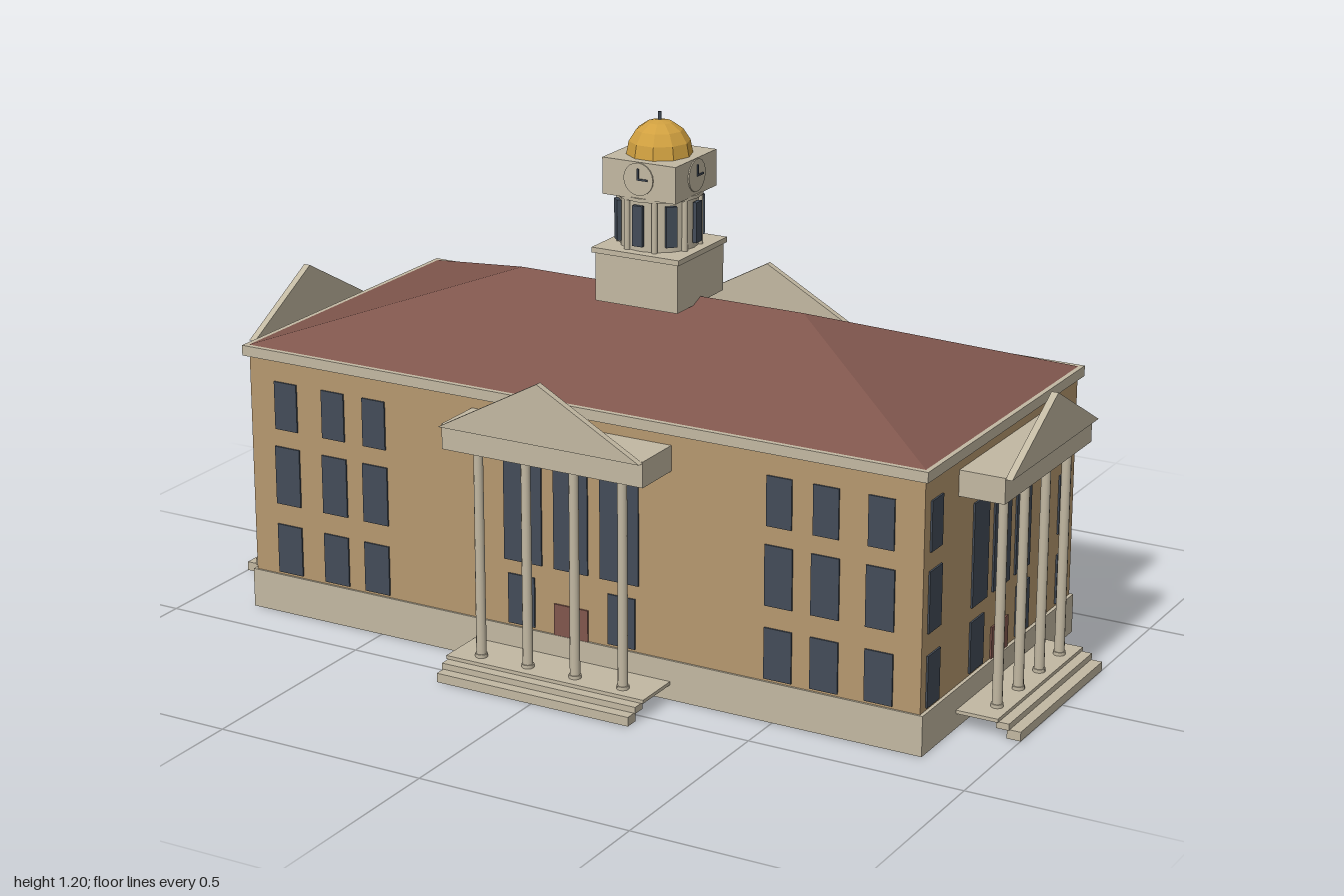
import * as THREE from 'three';

const mat = (name, color) => Object.assign(new THREE.MeshStandardMaterial({ color }), { name });
const flat = (geo) => { const g = geo.toNonIndexed(); g.computeVertexNormals(); return g; };

export function createModel() {
  const wall = mat('tan brick', 0xb6986f);
  const stone = mat('pale stone', 0xc2b8a2);
  const roofRed = mat('roof red', 0x80564d);
  const glass = mat('dark glass', 0x434c58);
  const gold = mat('gold', 0xd0a040);

  const add = (parent, name, geo, material, x = 0, y = 0, z = 0) => {
    const m = new THREE.Mesh(geo, material);
    m.name = name;
    m.position.set(x, y, z);
    parent.add(m);
    return m;
  };
  // Box given by its lower and upper bounds
  const block = (parent, name, material, x0, x1, y0, y1, z0, z1) =>
    add(parent, name, new THREE.BoxGeometry(x1 - x0, y1 - y0, z1 - z0), material,
      (x0 + x1) / 2, (y0 + y1) / 2, (z0 + z1) / 2);

  const model = new THREE.Group();
  model.name = 'domedHall';

  // Main body
  block(model, 'plinth', stone, -0.853, 0.853, 0, 0.092, -0.394, 0.394);
  block(model, 'walls', wall, -0.845, 0.845, 0.092, 0.61, -0.389, 0.389);
  block(model, 'cornice', stone, -0.856, 0.856, 0.61, 0.634, -0.402, 0.402);

  // Hipped roof: a box whose top edge is pinched into a ridge
  const roofGeo = new THREE.BoxGeometry(1.69, 0.154, 0.78);
  const p = roofGeo.attributes.position;
  for (let i = 0; i < p.count; i++) {
    if (p.getY(i) > 0) p.setXYZ(i, Math.sign(p.getX(i)) * 0.36, p.getY(i), 0);
  }
  add(model, 'hippedRoof', flat(roofGeo), roofRed, 0, 0.711, 0);

  // One facade with its windows and portico, facing local +z
  const rows = [[0.098, 0.215], [0.265, 0.403], [0.445, 0.558]];
  const makeFacade = (name, f) => {
    const g = new THREE.Group();
    g.name = name;
    const w = f.wall;
    const pane = (label, m, x, width, y0, y1) =>
      block(g, label, m, x - width / 2, x + width / 2, y0, y1, w - 0.004, w + 0.004);

    for (const s of [-1, 1]) {
      for (const x of f.windows) {
        rows.forEach(([y0, y1], r) => pane('window', glass, s * x, r === 2 ? f.width - 0.006 : f.width, y0, y1));
      }
      pane('tallWindow', glass, s * f.tall, f.tallWidth, 0.247, 0.484);
      pane('porchWindow', glass, s * f.low, 0.068, 0.098, 0.215);
    }
    pane('middleWindow', glass, 0, 0.086, 0.247, 0.484);
    pane('door', roofRed, 0, 0.086, 0.092, 0.165);

    // Porch floor and steps
    const h = f.half;
    block(g, 'porchFloor', stone, -h, h, 0.035, 0.043, w, f.front);
    block(g, 'upperStep', stone, -h + 0.005, h - 0.005, 0.02, 0.035, f.front - 0.006, f.steps[0]);
    block(g, 'lowerStep', stone, -h + 0.008, h - 0.008, 0, 0.021, f.steps[0] - 0.006, f.steps[1]);

    // Columns
    for (const k of [-1.5, -0.5, 0.5, 1.5]) {
      const x = k * f.spacing;
      add(g, 'column', new THREE.CylinderGeometry(0.0105, 0.0115, 0.484, 12), stone, x, 0.284, f.column);
      for (const y of [0.047, 0.521]) {
        add(g, 'columnCollar', new THREE.CylinderGeometry(0.014, 0.014, 0.008, 12), stone, x, y, f.column);
      }
    }

    // Entablature and upright gable plate
    block(g, 'entablature', stone, -h, h, 0.525, 0.583, w, f.front);
    const tri = new THREE.Shape([[-h, 0.58], [h, 0.58], [0, f.apex]].map(([x, y]) => new THREE.Vector2(x, y)));
    add(g, 'pediment', new THREE.ExtrudeGeometry(tri, { depth: 0.016, bevelEnabled: false }), stone, 0, 0, f.front - 0.001);
    return g;
  };

  const longSide = {
    wall: 0.389, front: 0.511, steps: [0.536, 0.562], column: 0.476, half: 0.25, spacing: 0.12, apex: 0.717,
    windows: [0.51, 0.62, 0.748], width: 0.066, tall: 0.122, tallWidth: 0.096, low: 0.127,
  };
  const shortSide = {
    wall: 0.845, front: 0.95, steps: [0.974, 1.0], column: 0.92, half: 0.227, spacing: 0.11, apex: 0.706,
    windows: [0.334], width: 0.06, tall: 0.111, tallWidth: 0.077, low: 0.119,
  };
  ['frontFacade', 'leftFacade', 'backFacade', 'rightFacade'].forEach((name, i) => {
    const f = makeFacade(name, i % 2 ? shortSide : longSide);
    f.rotation.y = i * Math.PI / 2;
    model.add(f);
  });

  // Tower
  const tower = new THREE.Group();
  tower.name = 'tower';
  model.add(tower);
  block(tower, 'towerBase', stone, -0.104, 0.104, 0.775, 0.886, -0.104, 0.104);
  block(tower, 'towerLedge', stone, -0.11, 0.11, 0.886, 0.898, -0.11, 0.11);
  add(tower, 'drum', new THREE.CylinderGeometry(0.088, 0.088, 0.12, 16), stone, 0, 0.958, 0);
  add(tower, 'drumRing', new THREE.CylinderGeometry(0.097, 0.097, 0.008, 16), stone, 0, 1.016, 0);
  block(tower, 'clockStage', stone, -0.092, 0.092, 1.018, 1.101, -0.092, 0.092);

  // Eight drum windows with small columns between them
  for (let i = 0; i < 8; i++) {
    const a = i * Math.PI / 4, b = a + Math.PI / 8;
    const win = add(tower, 'drumWindow', new THREE.BoxGeometry(0.025, 0.092, 0.0095), glass,
      Math.sin(a) * 0.0955, 0.958, Math.cos(a) * 0.0955);
    win.rotation.y = a;
    add(tower, 'drumColumn', new THREE.CylinderGeometry(0.007, 0.007, 0.114, 8), stone,
      Math.sin(b) * 0.09, 0.955, Math.cos(b) * 0.09);
  }

  // Clock on each side
  for (let i = 0; i < 4; i++) {
    const clock = new THREE.Group();
    clock.name = 'clock';
    clock.rotation.y = i * Math.PI / 2;
    tower.add(clock);
    add(clock, 'clockFace', new THREE.CylinderGeometry(0.037, 0.037, 0.004, 20), stone, 0, 1.063, 0.093)
      .rotation.x = Math.PI / 2;
    block(clock, 'minuteHand', glass, -0.002, 0.002, 1.061, 1.087, 0.094, 0.098);
    block(clock, 'hourHand', glass, -0.002, 0.024, 1.061, 1.065, 0.094, 0.098);
  }

  // Faceted dome and finial
  const domeGeo = flat(new THREE.SphereGeometry(0.074, 10, 4, 0, Math.PI * 2, 0, Math.PI / 2));
  add(tower, 'dome', domeGeo, gold, 0, 1.101, 0).scale.y = 1.04;
  add(tower, 'finial', new THREE.CylinderGeometry(0.004, 0.004, 0.024, 8), glass, 0, 1.183, 0);

  return model;
}
